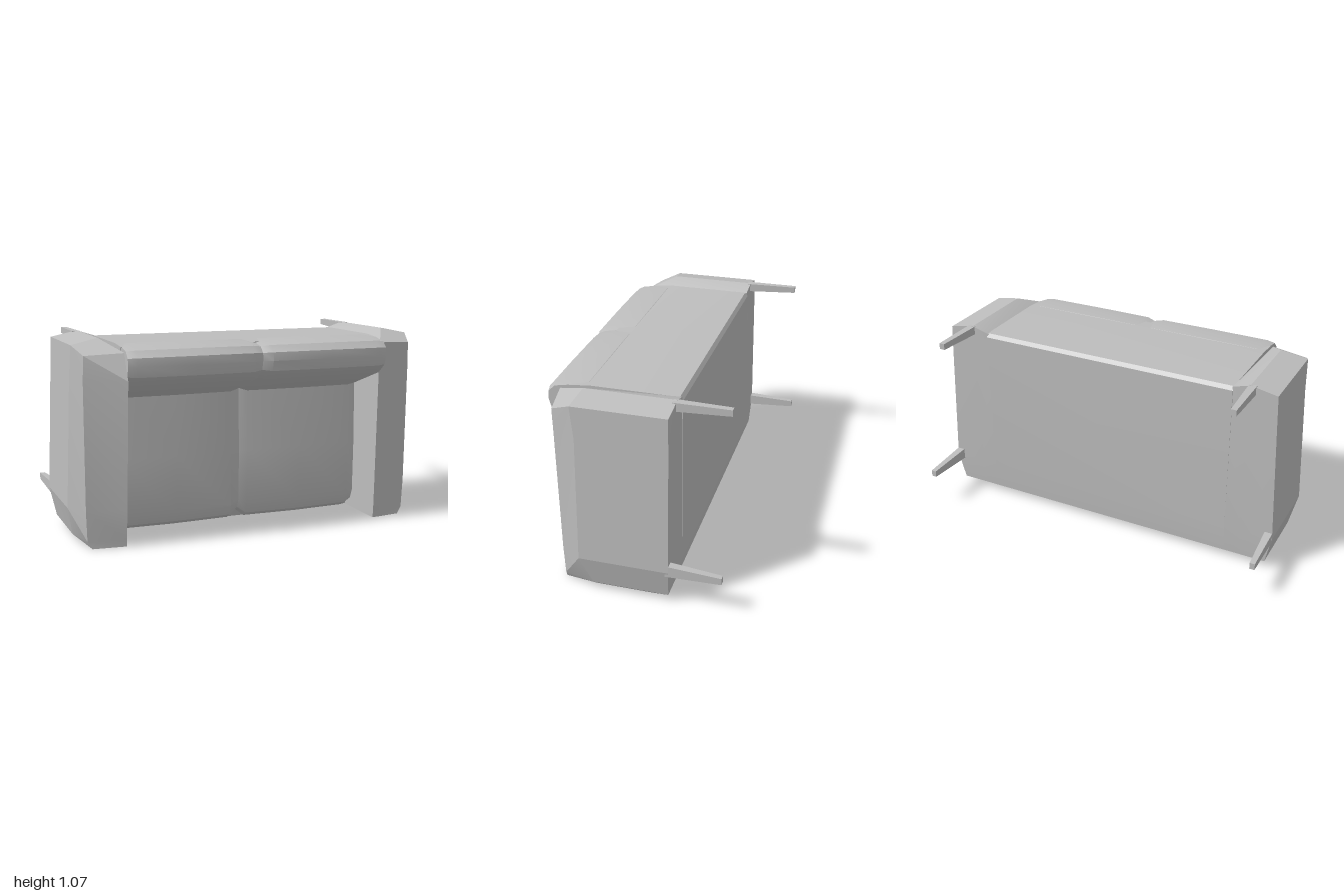
import * as THREE from 'three';
import { toCreasedNormals } from 'three/addons/utils/BufferGeometryUtils.js';

// Skins a stack of equal-length rings and closes both ends around a centre point.
function loft(rings, { flip = false, endCentre = null, crease = 0.3 } = {}) {
  const positions = [];
  const tri = (a, b, c) => positions.push(...a, ...(flip ? c : b), ...(flip ? b : c));
  const mean = ring => [0, 1, 2].map(k => ring.reduce((sum, p) => sum + p[k], 0) / ring.length);
  const n = rings[0].length;
  const first = rings[0], last = rings[rings.length - 1];
  const start = mean(first), end = endCentre || mean(last);
  for (let j = 0; j < n; j++) {
    const k = (j + 1) % n;
    for (let i = 0; i < rings.length - 1; i++) {
      const [a, b, c, d] = [rings[i][j], rings[i][k], rings[i + 1][j], rings[i + 1][k]];
      tri(a, c, b);
      tri(b, c, d);
    }
    tri(start, first[j], first[k]);
    tri(end, last[k], last[j]);
  }
  const geometry = new THREE.BufferGeometry();
  geometry.setAttribute('position', new THREE.Float32BufferAttribute(positions, 3));
  return toCreasedNormals(geometry, crease);
}

// Sweeps a [y, z] profile along x; each station is [x, inset toward the pivot].
function sweep(profile, stations, pivot = [0, 0], crease = 0.3) {
  const rings = stations.map(([x, inset]) => profile.map(([y, z]) => [
    x, y + (pivot[0] - y) * inset, z + (pivot[1] - z) * inset,
  ]));
  return loft(rings, { crease });
}

// Arm: side is +1 or -1; bulge is the forward reach of its inner edge near the backrest.
function armGeometry(side, bulge) {
  const inner = 0.725;
  // height, outer x, back z, outer front z, front corner x and z, inner front z
  const levels = [
    [0, 0.92, -0.12, 0.19, 0.90, 0.36, 0.38],
    [0.04, 0.965, -0.21, 0.19, 0.925, 0.355, 0.385],
    [0.2, 1.0, -0.22, 0.25, 0.93, 0.36, 0.385 + (bulge - 0.385) * 0.23],
    [0.87, 0.972, -0.217, 0.25, 0.93, 0.37, bulge],
  ];
  const rings = levels.map(([y, out, back, front, cx, cz, iz]) => [
    [inner, y, back], [0.82, y, back], [out, y, back],
    [out, y, front], [cx, y, cz], [inner, y, iz],
  ].map(([x, h, z]) => [x * side, h, z]));
  // Sloping rim below the raised ridge
  rings.push([
    [inner, 1.04, -0.215], [0.82, 1.07, -0.22], [0.965, 1.04, -0.215],
    [0.965, 1.04, 0.27], [0.925, 0.995, 0.375], [inner, 1.005, 0.41],
  ].map(([x, h, z]) => [x * side, h, z]));
  return loft(rings, { flip: side < 0, endCentre: [0.82 * side, 1.07, 0.25], crease: 0.25 });
}

// Tapered four-sided leg reaching back from the base
function legGeometry(side, base, tip) {
  const ring = ([x0, x1, y0, y1], z) => [[x0, y0, z], [x0, y1, z], [x1, y1, z], [x1, y0, z]]
    .map(([x, y, h]) => [x * side, y, h]);
  return loft([ring(tip, -0.49), ring(base, -0.2)], { flip: side < 0 });
}

export function createModel() {
  const group = new THREE.Group();
  const grey = new THREE.MeshStandardMaterial({ color: 0xbdbdbd });
  grey.name = 'grey fabric';
  const add = (name, geometry) => {
    const mesh = new THREE.Mesh(geometry, grey);
    mesh.name = name;
    group.add(mesh);
  };

  // Sofa resting on its front edge, with its underside facing -z
  add('frame', sweep([
    [1.03, 0.36], [1.04, 0.25], [1.04, -0.205], [1.02, -0.22], [0.2, -0.22], [0.04, -0.21],
    [0, -0.12], [0, 0.05], [0.1, 0.1], [0.82, 0.1], [1.0, 0.34],
  ], [[-0.73, 0], [0.73, 0]]));

  add('leftArm', armGeometry(1, 0.405));
  add('rightArm', armGeometry(-1, 0.468));

  const backProfile = [
    [1.04, 0.27], [0.95, 0.1], [0.73, 0.12], [0.83, 0.41], [0.885, 0.475],
    [0.94, 0.49], [0.985, 0.487], [1.02, 0.45], [1.035, 0.37],
  ];
  const seatProfile = [
    [0.85, 0.135], [0.85, 0], [0.005, 0], [0.002, 0.08], [0.025, 0.115], [0.085, 0.14], [0.4, 0.145],
  ];
  for (const side of [1, -1]) {
    const name = side > 0 ? 'left' : 'right';
    // Cushions with pinched ends and a seam between them
    const stations = [[0, 0.11], [0.05, 0.01], [0.37, 0], [0.68, 0.01], [0.727, 0.07]]
      .map(([x, inset]) => [x * side, inset]);
    if (side < 0) stations.reverse();
    add(name + 'BackCushion', sweep(backProfile, stations, [0.95, 0.27], 0.5));
    add(name + 'SeatCushion', sweep(seatProfile, stations, [0.4, 0.05], 0.5));
    add(name + 'BackrestLeg', legGeometry(side, [0.808, 0.85, 1.022, 1.068], [0.82, 0.85, 1.035, 1.068]));
    add(name + 'FrontLeg', legGeometry(side, [0.955, 0.998, 0.176, 0.238], [0.972, 1.0, 0.186, 0.222]));
  }
  return group;
}
